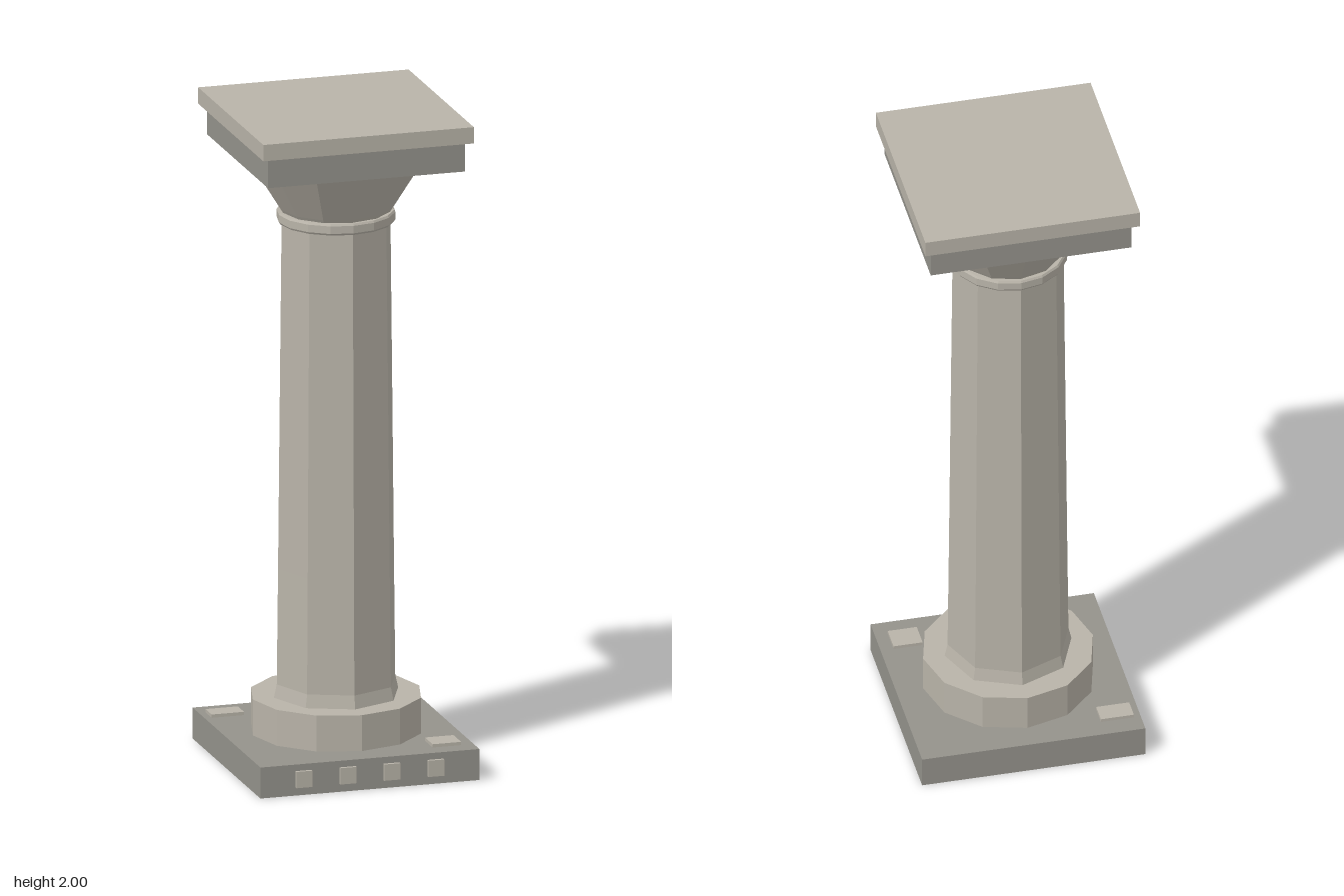
import * as THREE from 'three';

export function createModel() {
  const model = new THREE.Group();
  model.name = 'column';
  const stone = (name, color) => {
    const m = new THREE.MeshStandardMaterial({ color, flatShading: true });
    m.name = name;
    return m;
  };
  const light = stone('lightStone', 0xb8b3a8);
  const dark = stone('darkStone', 0x94928b);
  const axisZ = -0.005; // column axis, set back for the front studs

  const add = (name, geometry, material, x, y, z) => {
    const mesh = new THREE.Mesh(geometry, material);
    mesh.name = name;
    mesh.position.set(x, y, z);
    model.add(mesh);
    return mesh;
  };
  // Box between two heights
  const slab = (name, w, d, y0, y1, material, x = 0, z = axisZ) =>
    add(name, new THREE.BoxGeometry(w, y1 - y0, d), material, x, (y0 + y1) / 2, z);
  // Faceted turned part from [radius, height] pairs, bottom to top
  const turned = (name, profile, sides) =>
    add(name, new THREE.LatheGeometry(profile.map(([r, y]) => new THREE.Vector2(r, y)), sides),
      light, 0, 0, axisZ);

  // Plinth with four studs on its front face
  slab('plinth', 0.676, 0.676, 0, 0.095, dark);
  for (let i = 0; i < 4; i++) {
    slab('frontStud', 0.05, 0.02, 0.025, 0.075, light, -0.205 + i * 0.1357, 0.333);
  }
  // Loose chips lying on two corners of the plinth
  slab('frontChip', 0.088, 0.077, 0.094, 0.105, light, 0.255, 0.239);
  slab('backChip', 0.1, 0.062, 0.094, 0.105, light, -0.267, -0.252);

  // Base drum, flared octagonal shaft, neck ring and spreading capital
  turned('baseDrum', [[0, 0.094], [0.257, 0.094], [0.257, 0.205], [0, 0.205]], 12);
  turned('shaft', [[0.193, 0.2], [0.183, 0.245], [0.179, 0.6], [0.174, 1.1], [0.168, 1.67]], 8);
  turned('neckRing', [[0.15, 1.655], [0.172, 1.655], [0.176, 1.661], [0.176, 1.684],
    [0.172, 1.69], [0.15, 1.69]], 16);
  turned('capital', [[0.16, 1.685], [0.17, 1.7], [0.27, 1.862]], 12);

  // Square top slabs
  slab('abacus', 0.608, 0.608, 1.86, 1.95, dark);
  slab('topSlab', 0.65, 0.65, 1.95, 2, light);
  return model;
}
